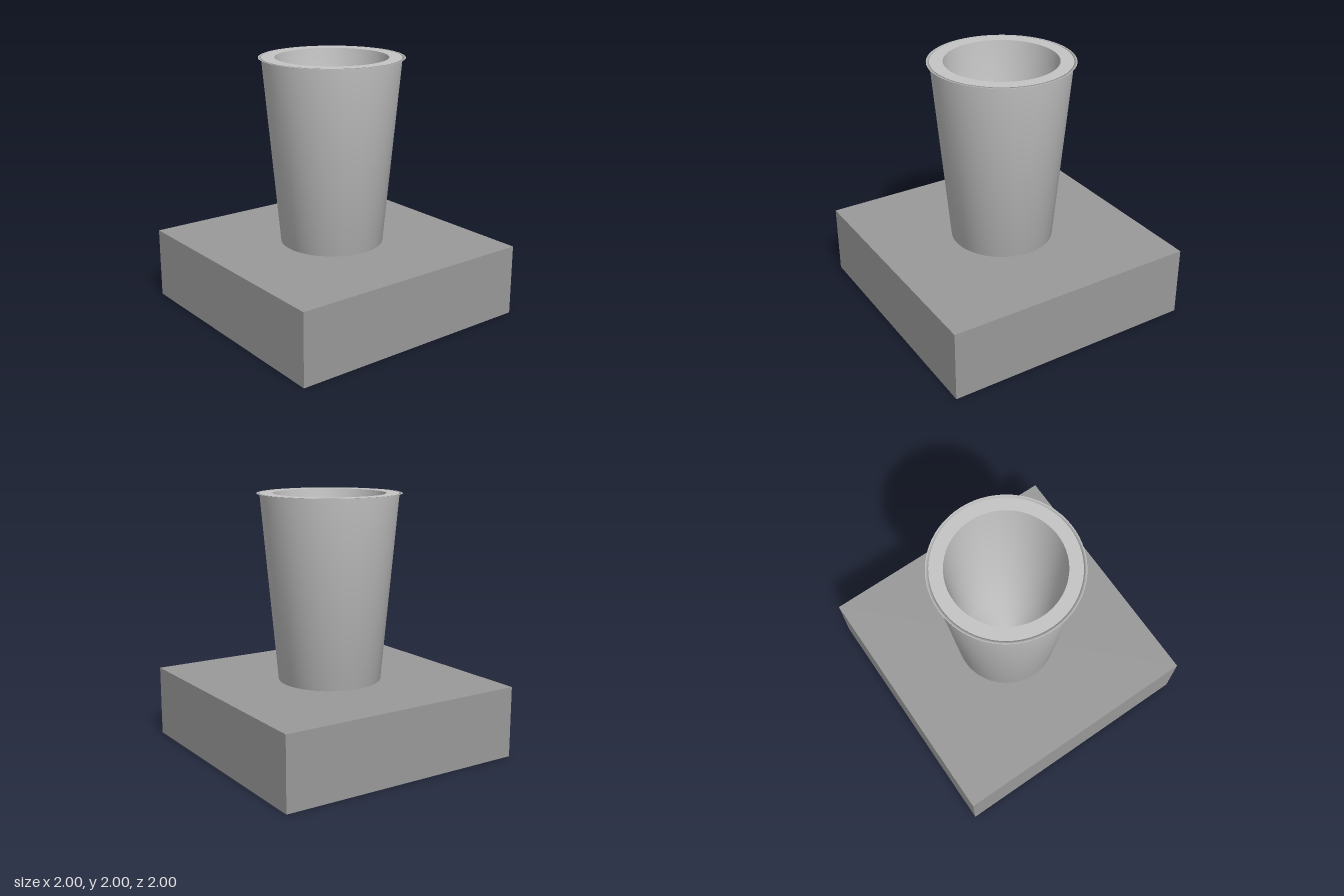
import * as THREE from 'three';

export function createModel() {
  const model = new THREE.Group();
  const baseGrey = new THREE.MeshStandardMaterial({ color: 0x999999 });
  baseGrey.name = 'base grey';
  const cupGrey = new THREE.MeshStandardMaterial({ color: 0xc4c4c4, side: THREE.DoubleSide });
  cupGrey.name = 'cup light grey';

  const baseTop = 0.555, top = 2, rimOuter = 0.53, rimInner = 0.43;

  const add = (name, geometry, material) => {
    const mesh = new THREE.Mesh(geometry, material);
    mesh.name = name;
    model.add(mesh);
    return mesh;
  };
  const lathe = (points) =>
    new THREE.LatheGeometry(points.map(([r, y]) => new THREE.Vector2(r, y)), 64);

  // Square plinth
  add('base', new THREE.BoxGeometry(2, baseTop, 2), baseGrey).position.y = baseTop / 2;

  // Tapered outer wall with a thin flat lip; normals run smoothly over its edges
  add('outerWall', lathe([[0, baseTop], [0.4, baseTop], [rimOuter, top], [0.553, top]]), cupGrey);

  // Flat top rim
  add('rim', new THREE.RingGeometry(rimInner, rimOuter, 64).rotateX(-Math.PI / 2).translate(0, top, 0), cupGrey);

  // Hollow inside with a softly shaded floor
  add('innerWall', lathe([[rimInner, top], [0.3, 0.67], [0, 0.67]]), cupGrey);

  return model;
}
